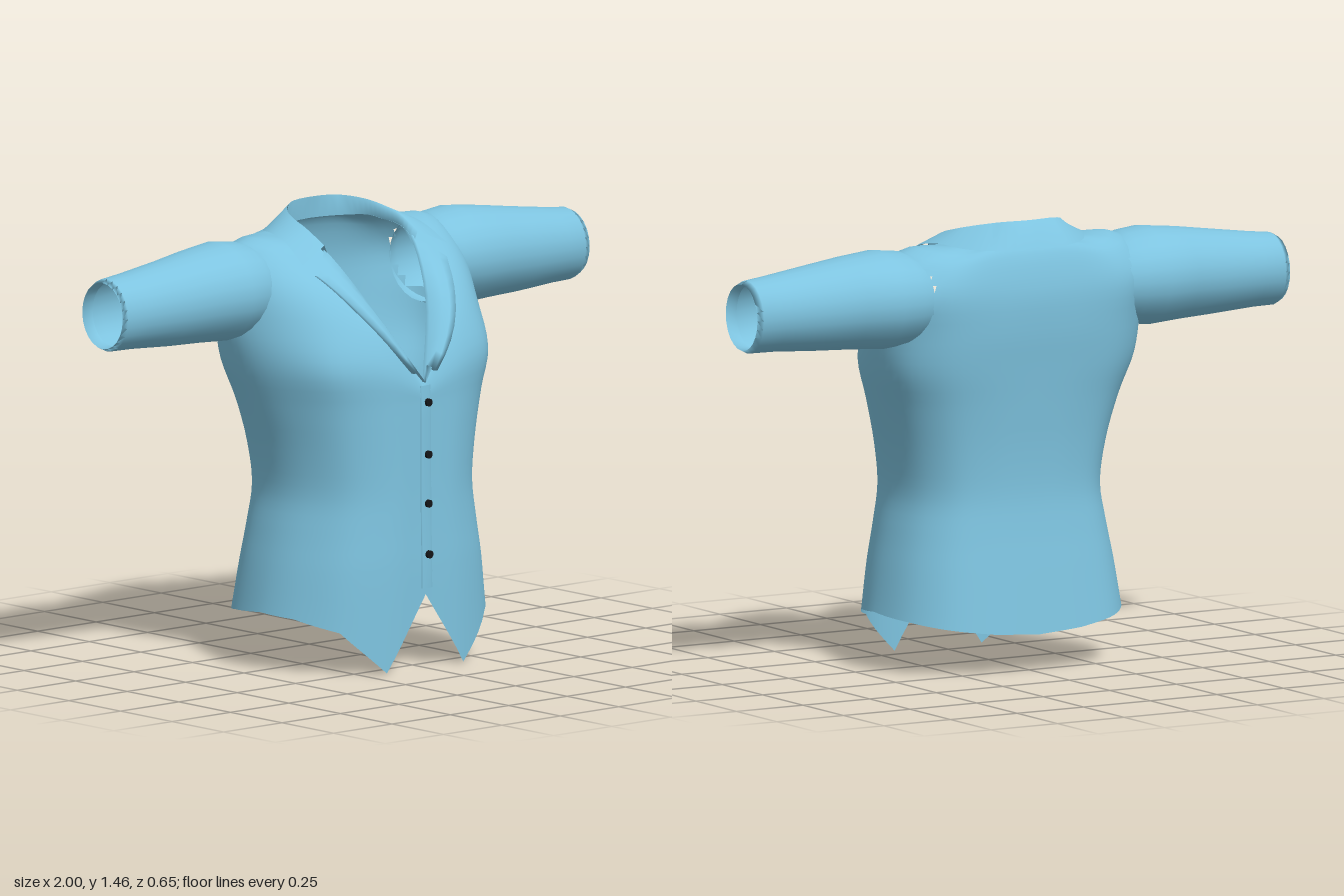
import * as THREE from 'three';

const V = (x, y, z) => new THREE.Vector3(x, y, z);

// Smooth curve through points, sampled n times per span
function smooth(points, n) {
  return new THREE.CatmullRomCurve3(points).getPoints((points.length - 1) * n);
}

// Surface from rows of points; side -1 mirrors it in x, keep() may drop quads
function grid(rows, { closed = false, side = 1, keep = () => true } = {}) {
  const n = rows[0].length, pos = [], index = [];
  rows.forEach(r => r.forEach(p => pos.push(p.x * side, p.y, p.z)));
  for (let i = 0; i < rows.length - 1; i++) {
    for (let j = 0; j < (closed ? n : n - 1); j++) {
      const k = (j + 1) % n;
      const a = i * n + j, b = i * n + k, c = a + n, d = b + n;
      const mid = rows[i][j].clone().add(rows[i + 1][k]).multiplyScalar(0.5);
      if (!keep(mid)) continue;
      if (side > 0) index.push(a, b, d, a, d, c);
      else index.push(a, d, b, a, c, d);
    }
  }
  const g = new THREE.BufferGeometry();
  g.setAttribute('position', new THREE.Float32BufferAttribute(pos, 3));
  g.setIndex(index);
  g.computeVertexNormals();
  return g;
}

// Half outline of the body, front centre to back centre (x share, z share)
const outline = [[0, 1], [0.38, 0.99], [0.72, 0.79], [0.93, 0.4], [1, 0],
  [0.93, -0.5], [0.72, -0.83], [0.38, -0.97], [0, -1]];
const hemY = [0.25, 0.01, 0.15, 0.19, 0.2, 0.185, 0.165, 0.145, 0.135];
// Body levels: y, half width, front z, back z, side z
const levels = [[0, 0.43, 0.315, -0.32, 0], [0.34, 0.405, 0.315, -0.295, 0],
  [0.46, 0.38, 0.312, -0.28, 0], [0.58, 0.36, 0.31, -0.27, 0],
  [0.72, 0.378, 0.31, -0.275, -0.01], [0.87, 0.42, 0.31, -0.29, -0.03]];
// Chest, shoulder and neckline outlines
const chest = [
  [[0, 0.9, 0.31], [0.17, 0.99, 0.305], [0.33, 1, 0.24], [0.42, 1, 0.11], [0.46, 1, -0.05],
    [0.43, 1, -0.19], [0.33, 1, -0.27], [0.17, 1, -0.3], [0, 1, -0.305]],
  [[0, 0.92, 0.308], [0.165, 1.1, 0.265], [0.32, 1.13, 0.195], [0.43, 1.13, 0.07], [0.48, 1.13, -0.08],
    [0.44, 1.13, -0.21], [0.34, 1.13, -0.285], [0.17, 1.13, -0.315], [0, 1.13, -0.32]],
  [[0, 0.93, 0.305], [0.16, 1.17, 0.215], [0.31, 1.25, 0.12], [0.42, 1.27, 0.02], [0.47, 1.28, -0.11],
    [0.45, 1.27, -0.22], [0.35, 1.26, -0.29], [0.17, 1.26, -0.315], [0, 1.26, -0.32]],
  [[0, 0.937, 0.303], [0.145, 1.2, 0.185], [0.27, 1.33, 0.04], [0.36, 1.37, -0.04], [0.4, 1.385, -0.13],
    [0.37, 1.37, -0.21], [0.28, 1.36, -0.26], [0.15, 1.38, -0.28], [0, 1.39, -0.28]],
  [[0, 0.94, 0.3], [0.125, 1.19, 0.17], [0.19, 1.36, 0.02], [0.2, 1.385, -0.05], [0.2, 1.39, -0.11],
    [0.18, 1.4, -0.17], [0.14, 1.4, -0.21], [0.07, 1.4, -0.24], [0, 1.4, -0.25]],
];
const STEP = 5;

function torsoRows() {
  const rings = levels.map(([y, w, f, b, c], i) => {
    const ring = smooth(outline.map(([sx, sz]) =>
      V(sx * w, y, sz > 0 ? c + (f - c) * sz : c + (c - b) * sz)), STEP);
    // The hem keeps straight pointed edges
    if (i === 0) ring.forEach((p, j) => {
      const s = Math.min(Math.floor(j / STEP), hemY.length - 2);
      p.y = THREE.MathUtils.lerp(hemY[s], hemY[s + 1], j / STEP - s);
    });
    return ring;
  });
  chest.forEach(r => rings.push(smooth(r.map(p => V(...p)), STEP)));
  const columns = rings[0].map((_, j) => smooth(rings.map(r => r[j]), 4));
  return columns[0].map((_, i) => {
    const half = columns.map(c => c[i]);
    const other = half.slice(1, -1).reverse().map(p => V(-p.x, p.y, p.z));
    return [...half, ...other];
  });
}

export function createModel() {
  const model = new THREE.Group();
  model.name = 'shirt';
  const cloth = new THREE.MeshStandardMaterial({ color: 0x7ec4e0, side: THREE.DoubleSide });
  cloth.name = 'light blue cloth';
  const black = new THREE.MeshStandardMaterial({ color: 0x141416 });
  black.name = 'black button';
  const add = (name, geometry, material = cloth) => {
    const mesh = new THREE.Mesh(geometry, material);
    mesh.name = name;
    model.add(mesh);
    return mesh;
  };

  // Body with open armholes
  const rows = torsoRows();
  const outsideArmhole = p => Math.abs(p.x) < 0.36 ||
    ((p.y - 1.235) / 0.13) ** 2 + ((p.z + 0.13) / 0.15) ** 2 > 1;
  const torso = add('torso', grid(rows, { closed: true, keep: outsideArmhole }));

  // Finds the front of the body at x, y
  const ray = new THREE.Raycaster();
  const frontZ = (x, y, fallback) => {
    ray.set(V(x, y, 2), V(0, 0, -1));
    const hit = ray.intersectObject(torso)[0];
    return hit ? hit.point.z : fallback;
  };

  // Sleeve rings: x, centre y, centre z, radius y, radius z
  const cuts = [[0.37, 1.235, -0.13, 0.135, 0.15], [0.42, 1.237, -0.13, 0.152, 0.172],
    [0.5, 1.238, -0.13, 0.16, 0.181], [0.62, 1.235, -0.125, 0.15, 0.16],
    [0.75, 1.228, -0.12, 0.138, 0.14], [0.9, 1.222, -0.12, 0.123, 0.119],
    [0.98, 1.218, -0.122, 0.118, 0.104], [1, 1.218, -0.12, 0.108, 0.098],
    [0.96, 1.218, -0.118, 0.104, 0.095]];
  const sleeveRows = cuts.map(([x, cy, cz, ry, rz]) => Array.from({ length: 24 }, (_, j) => {
    const a = j / 24 * Math.PI * 2;
    return V(x, cy + ry * Math.cos(a), cz + rz * Math.sin(a));
  }));

  // Lapel laid on the chest along the neckline
  const neck = rows[rows.length - 1];
  const lapelRows = [];
  for (let k = 0; k <= 2 * STEP; k++) {
    const n = neck[k], w = Math.pow(k / (2 * STEP), 0.6);
    const at = (t, lift) => {
      const x = n.x + 0.085 * w * t, y = n.y - 0.07 * w * t;
      const z = t === 0 ? n.z : frontZ(x, y, n.z);
      return V(x, y, z + lift);
    };
    lapelRows.push([at(0, 0), at(0, 0.016), at(0.35, 0.022), at(0.7, 0.022), at(1, 0.02), at(1, -0.004)]);
  }

  for (const [word, side] of [['left', 1], ['right', -1]]) {
    add(word + 'Sleeve', grid(sleeveRows, { closed: true, side }));
    add(word + 'Lapel', grid(lapelRows, { side }));
  }

  // Folded collar: outer edge, fold and inner edge, front left to back centre
  const collar = [
    [[0.31, 1.325, 0.07], [0.29, 1.385, -0.04], [0.27, 1.4, -0.13], [0.22, 1.39, -0.225], [0.14, 1.385, -0.28], [0, 1.38, -0.298]],
    [[0.2, 1.375, 0.05], [0.2, 1.42, -0.04], [0.19, 1.44, -0.11], [0.165, 1.455, -0.17], [0.1, 1.468, -0.225], [0, 1.47, -0.245]],
    [[0.18, 1.33, 0.05], [0.2, 1.38, -0.03], [0.2, 1.39, -0.11], [0.18, 1.4, -0.17], [0.13, 1.4, -0.215], [0, 1.4, -0.25]],
  ].map(edge => {
    const half = edge.map(p => V(...p));
    const other = half.slice(0, -1).reverse().map(p => V(-p.x, p.y, p.z));
    return smooth([...half, ...other], 4);
  });
  add('collar', grid(collar));

  // Overlapping front edge
  const placket = [];
  for (let i = 0; i <= 12; i++) {
    const y = 0.27 + i * 0.055;
    placket.push([[-0.018, 0], [-0.016, 0.005], [0.015, 0.005], [0.03, -0.001]]
      .map(([x, lift]) => V(x, y, frontZ(x, y, 0.31) + lift)));
  }
  add('placket', grid(placket));

  // Buttons
  for (const y of [0.875, 0.705, 0.545, 0.38]) {
    const button = add('button', new THREE.CylinderGeometry(0.013, 0.013, 0.012, 10), black);
    button.rotation.x = Math.PI / 2;
    button.position.set(0.008, y, frontZ(0.008, y, 0.31) + 0.009);
  }
  return model;
}
